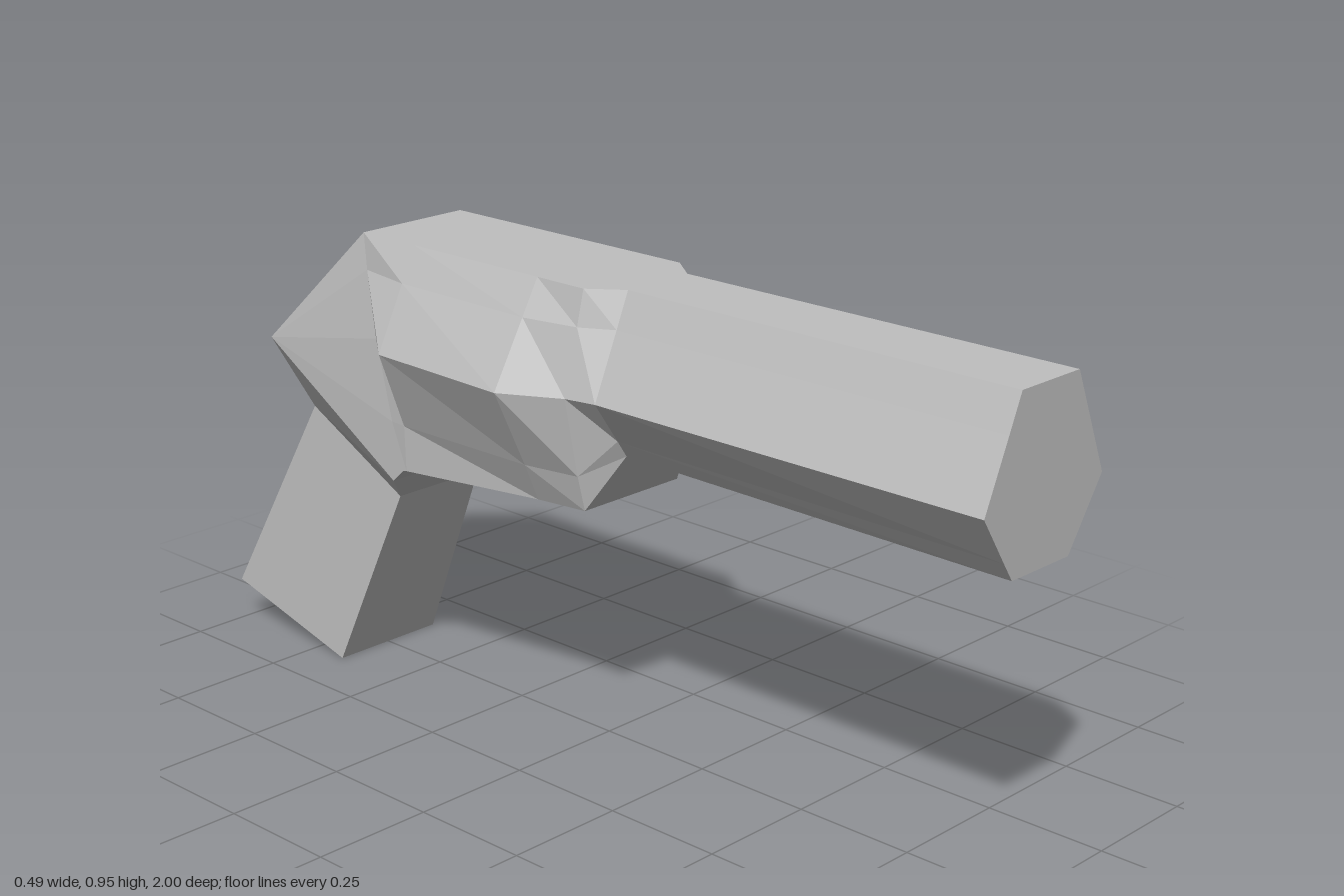
import * as THREE from 'three';

// Half cross-section points [x, y, z], listed top to bottom, mirrored into a closed ring
const ring = (half) => [...half, ...half.map(([x, y, z]) => [-x, y, z]).reverse()];
const atZ = (z, pts) => ring(pts.map(([x, y]) => [x, y, z]));

// Skin a row of rings, optionally closing the first and last ring
function loft(rings, capStart = false, capEnd = false) {
  const pos = [];
  const tri = (a, b, c) => {
    const [A, B, C] = [a, b, c].map((p) => new THREE.Vector3(...p));
    const area = B.clone().sub(A).cross(C.clone().sub(A)).length();
    if (area > 1e-7) pos.push(...a, ...b, ...c);
  };
  for (let r = 0; r < rings.length - 1; r++) {
    const a = rings[r], b = rings[r + 1], n = a.length;
    for (let i = 0; i < n; i++) {
      const j = (i + 1) % n;
      tri(a[i], a[j], b[j]);
      tri(a[i], b[j], b[i]);
    }
  }
  const first = rings[0], last = rings[rings.length - 1];
  for (let i = 1; i < first.length - 1; i++) if (capStart) tri(first[0], first[i + 1], first[i]);
  for (let i = 1; i < last.length - 1; i++) if (capEnd) tri(last[0], last[i], last[i + 1]);
  const geo = new THREE.BufferGeometry();
  geo.setAttribute('position', new THREE.Float32BufferAttribute(pos, 3));
  geo.computeVertexNormals();
  return geo;
}

export function createModel() {
  const group = new THREE.Group();
  group.name = 'blockyPistol';
  const grey = new THREE.MeshStandardMaterial({ color: 0xbfbfbf, flatShading: true });
  grey.name = 'lightGrey';
  const add = (name, geo) => {
    const mesh = new THREE.Mesh(geo, grey);
    mesh.name = name;
    group.add(mesh);
  };

  // Six-sided barrel
  const muzzle = atZ(1, [[0.08, 0.95], [0.11, 0.88], [0.167, 0.75], [0.105, 0.657], [0.08, 0.62]]);
  const barrelEnd = atZ(0.125, [[0.08, 0.95], [0.11, 0.88], [0.167, 0.75], [0.107, 0.665], [0.083, 0.63]]);
  add('barrel', loft([muzzle, barrelEnd], true));

  // Bulging body
  const shoulder = atZ(0.06, [[0.13, 0.95], [0.147, 0.88], [0.18, 0.75], [0.147, 0.59], [0.128, 0.517]]);
  const bulgeFront = atZ(-0.06, [[0.13, 0.95], [0.17, 0.88], [0.245, 0.75], [0.168, 0.59], [0.134, 0.512]]);
  const bulgeBack = atZ(-0.4, [[0.13, 0.95], [0.165, 0.88], [0.23, 0.75], [0.17, 0.59], [0.167, 0.495]]);
  const bodyEnd = ring([
    [0.13, 0.95, -0.55], [0.143, 0.88, -0.528], [0.16, 0.75, -0.488],
    [0.167, 0.59, -0.439], [0.167, 0.493, -0.41],
  ]);
  add('body', loft([barrelEnd, shoulder, bulgeFront, bulgeBack, bodyEnd]));

  // Sloped rear wedge, its side faces fanning into the back corner
  const back = [0.167, 0.69, -0.81], front = [0.167, 0.465, -0.44];
  add('rearWedge', loft([bodyEnd, ring([back, back, back, back, front])]));

  // Tapered collar and flared grip
  const gripTop = ring([[0.108, 0.54, -0.75], [0.108, 0.405, -0.488]]);
  const gripBase = ring([[0.13, 0.09, -1], [0.13, 0, -0.665]]);
  add('gripCollar', loft([ring([back, front]), gripTop]));
  add('grip', loft([gripTop, gripBase], false, true));

  return group;
}
